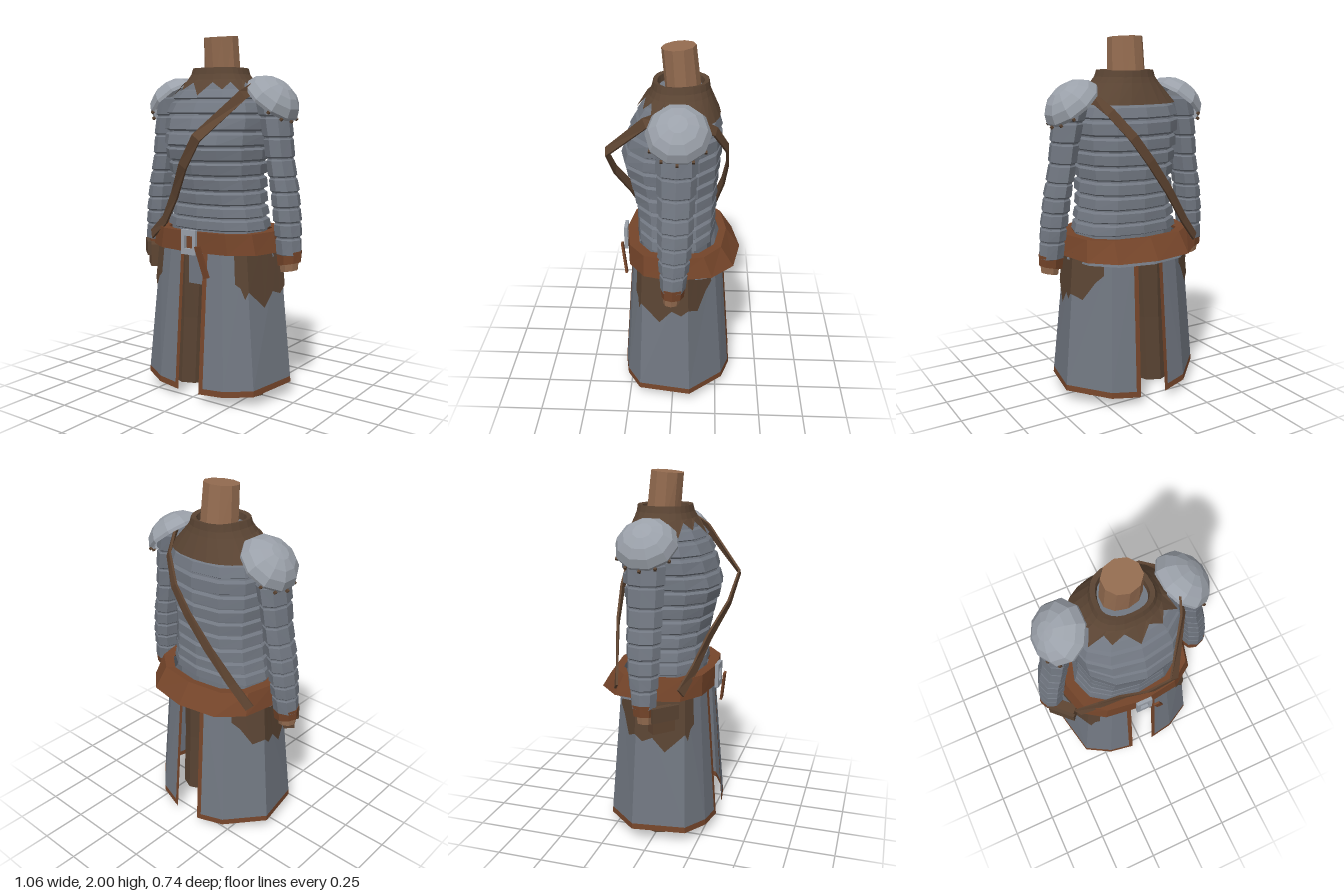
import * as THREE from 'three';

const mat = (name, color) => {
  const m = new THREE.MeshStandardMaterial({ color, side: THREE.DoubleSide });
  m.name = name;
  return m;
};
const V = (x, y, z) => new THREE.Vector3(x, y, z);

// Faceted geometry from rows of points (bottom to top)
function loft(rows, closed = true, caps = false) {
  const pos = [];
  const tri = (...p) => p.forEach(v => pos.push(v.x, v.y, v.z));
  const n = rows[0].length;
  for (let r = 0; r < rows.length - 1; r++) {
    for (let i = 0; i < (closed ? n : n - 1); i++) {
      const j = (i + 1) % n, a = rows[r], b = rows[r + 1];
      tri(a[i], a[j], b[j]);
      tri(a[i], b[j], b[i]);
    }
  }
  if (caps) [rows[0], rows[rows.length - 1]].forEach((row, top) => {
    const c = V(0, 0, 0);
    row.forEach(p => c.add(p));
    c.divideScalar(n);
    row.forEach((p, i) => {
      const q = row[(i + 1) % n];
      if (top) tri(c, p, q); else tri(c, q, p);
    });
  });
  const g = new THREE.BufferGeometry();
  g.setAttribute('position', new THREE.Float32BufferAttribute(pos, 3));
  g.computeVertexNormals();
  return g;
}

function flat(geometry) {
  const g = geometry.index ? geometry.toNonIndexed() : geometry;
  g.computeVertexNormals();
  return g;
}

// Rounded ring with separate front and back depths
function ring(y, hx, zf, zb, n = 12, cx = 0, cz = 0, pow = 0.88) {
  return Array.from({ length: n }, (_, i) => {
    const a = i / n * Math.PI * 2, s = Math.sin(a), c = Math.cos(a);
    const f = v => Math.abs(v) < 1e-6 ? 0 : Math.sign(v) * Math.abs(v) ** pow;
    return V(cx + hx * f(s), y, cz + (c > 0 ? zf : zb) * f(c));
  });
}

// Interpolate rows keyed by their first value (ascending)
function sample(keys, y) {
  let i = 0;
  while (i < keys.length - 2 && y > keys[i + 1][0]) i++;
  const t = (y - keys[i][0]) / (keys[i + 1][0] - keys[i][0]);
  return keys[i].map((v, k) => v + (keys[i + 1][k] - v) * t);
}

// Flat strap following a path round the body
function strapGeometry(points, width, thick) {
  return loft(points.map((p, i) => {
    const t = points[Math.min(i + 1, points.length - 1)].clone().sub(points[Math.max(i - 1, 0)]).normalize();
    const out = V(p.x * 0.4, 0, p.z);
    out.addScaledVector(t, -out.dot(t)).normalize();
    const side = t.clone().cross(out).normalize();
    return [[-1, 1], [1, 1], [1, -1], [-1, -1]].map(([a, b]) =>
      p.clone().addScaledVector(side, a * width / 2).addScaledVector(out, b * thick / 2));
  }), true, true);
}

export function createModel() {
  const steel = mat('banded steel', 0x717781), bright = mat('polished steel', 0x9ba1aa);
  const leather = mat('belt leather', 0x75452a), dark = mat('dark leather', 0x5a4433);
  const strapMat = mat('strap leather', 0x5f4532), skin = mat('skin', 0x946c50);
  const model = new THREE.Group();
  const add = (parent, name, geometry, material) => {
    const m = new THREE.Mesh(geometry, material);
    m.name = name;
    parent.add(m);
    return m;
  };
  const box = (w, h, d) => flat(new THREE.BoxGeometry(w, h, d));

  // Torso of overlapping bands
  const body = [[0.8, 0.30, 0.2, 0.21], [0.95, 0.295, 0.195, 0.215], [1.1, 0.268, 0.2, 0.22], [1.25, 0.262, 0.235, 0.225],
    [1.4, 0.282, 0.28, 0.24], [1.56, 0.295, 0.235, 0.245], [1.65, 0.265, 0.19, 0.225], [1.73, 0.2, 0.135, 0.19], [1.78, 0.15, 0.1, 0.165]];
  const bodyRows = [ring(...body[0])];
  const edges = [0.94, 1.01, 1.08, 1.16, 1.24, 1.32, 1.4, 1.48, 1.57, 1.65, 1.71];
  const bodyRing = (y, d) => {
    const [, x, f, b] = sample(body, y);
    bodyRows.push(ring(y, x + d, f + d, b + d));
  };
  for (let i = 0; i < edges.length - 1; i++) {
    const h = edges[i + 1] - edges[i];
    bodyRing(edges[i], -0.006);
    bodyRing(edges[i] + h * 0.12, 0.014);
    bodyRing(edges[i] + h * 0.75, 0.01);
    bodyRing(edges[i] + h * 0.9, -0.006);
  }
  bodyRows.push(ring(...body[7]), ring(...body[8]));
  add(model, 'torso', loft(bodyRows, true, true), steel);

  // Neck and torn collar
  add(model, 'neck', loft([ring(1.72, 0.11, 0.08, 0.11, 10, 0, -0.035, 1), ring(1.985, 0.1, 0.09, 0.09, 10, 0, -0.02, 1)
    .map(p => V(p.x, 1.99 - p.z * 0.09, p.z))], true, true), skin);
  const n = 24;
  const tornY = ring(0, 1, 1, 1, n).map((p, i) => p.z < -0.2 ? 1.645 : i % 4 === 0 ? 1.67 : i % 2 ? 1.74 : 1.7);
  const hem = tornY.map((y, i) => {
    const [, x, f, b] = sample(body, y);
    return ring(y, x + 0.02, f + 0.024, b + 0.016, n)[i];
  });
  add(model, 'collar', loft([hem, ring(1.755, 0.185, 0.135, 0.195, n), ring(1.785, 0.162, 0.12, 0.185, n),
    ring(1.82, 0.15, 0.112, 0.18, n), ring(1.815, 0.125, 0.09, 0.155, n), ring(1.76, 0.115, 0.08, 0.15, n)]), dark);

  // Belt, flared at the back, with its under plate
  add(model, 'belt', loft([ring(0.83, 0.365, 0.25, 0.345, 12, 0, 0, 0.8), ring(0.828, 0.39, 0.27, 0.372, 12, 0, 0, 0.8),
    ring(0.94, 0.362, 0.268, 0.292, 12, 0, 0, 0.8), ring(0.935, 0.3, 0.21, 0.25, 12, 0, 0, 0.8)]), leather);
  const back = r => r.slice(3, 10);
  add(model, 'backPlate', loft([back(ring(0.8, 0.36, 0.2, 0.335)), back(ring(0.9, 0.33, 0.2, 0.28))], false), steel);

  // Buckle, loose belt end and front flap
  const frame = new THREE.Shape([[-0.047, -0.068], [0.047, -0.068], [0.047, 0.068], [-0.047, 0.068]].map(p => new THREE.Vector2(...p)));
  frame.holes.push(new THREE.Path([[-0.026, -0.035], [-0.026, 0.035], [0.026, 0.035], [0.026, -0.035]].map(p => new THREE.Vector2(...p))));
  add(model, 'buckle', flat(new THREE.ExtrudeGeometry(frame, { depth: 0.02, bevelEnabled: false })), bright).position.set(0, 0.885, 0.268);
  const end = add(model, 'beltEnd', box(0.036, 0.18, 0.012), leather);
  end.position.set(0.09, 0.785, 0.285);
  end.rotation.set(0.15, 0, 0.24);
  add(model, 'frontFlap', box(0.11, 0.23, 0.012), steel).position.set(-0.003, 0.755, 0.2);

  // Diagonal strap, front and back
  const front = [V(0.27, 1.71, 0.06), V(0.25, 1.67, 0.14), V(0.11, 1.45, 0.36), V(0, 1.3, 0.33), V(-0.12, 1.13, 0.25), V(-0.23, 0.98, 0.2), V(-0.36, 0.88, 0.16)];
  const rear = [V(0.27, 1.71, -0.08), V(0.2, 1.61, -0.215), V(0.1, 1.48, -0.28), V(0, 1.35, -0.288), V(-0.13, 1.18, -0.27), V(-0.26, 1.0, -0.228), V(-0.36, 0.88, -0.2)];
  add(model, 'frontStrap', strapGeometry(front, 0.055, 0.012), strapMat);
  add(model, 'backStrap', strapGeometry(rear, 0.05, 0.012), strapMat);

  // Hip pouch
  const pouch = new THREE.Group();
  pouch.name = 'pouch';
  pouch.position.set(-0.42, 0.75, 0.08);
  pouch.rotation.y = -Math.PI / 4;
  add(pouch, 'pouchBody', box(0.13, 0.13, 0.06), strapMat).position.set(0, -0.005, -0.01);
  add(pouch, 'pouchFlap', box(0.155, 0.08, 0.02), dark).position.set(0, 0.04, 0.03);
  model.add(pouch);

  // Skirt outline of one side: bottom x, y, z then top x, z
  const outline = [[0.07, 0.045, 0.295, 0.065, 0.235], [0.094, 0.046, 0.291, 0.09, 0.23], [0.22, 0.05, 0.27, 0.17, 0.215],
    [0.365, 0.062, 0.19, 0.29, 0.16], [0.425, 0.075, -0.1, 0.355, -0.08], [0.24, 0.055, -0.285, 0.2, -0.225],
    [0.104, 0.046, -0.327, 0.09, -0.265], [0.08, 0.045, -0.333, 0.065, -0.27]];
  const skirtTop = 0.87;
  const skirtAt = (o, t) => V(o[0] + (o[3] - o[0]) * t, o[1] + (skirtTop - o[1]) * t, o[2] + (o[4] - o[2]) * t);
  const row = (t, a = 0, b = 8) => outline.slice(a, b).map(o => skirtAt(o, t));
  // Torn edge: position along the outline and height
  const torn = [[2.5, 0.67], [2.7, 0.65], [2.85, 0.59], [3, 0.63], [3.4, 0.53], [3.65, 0.61], [3.85, 0.59], [4, 0.63], [4.3, 0.6], [4.6, 0.7], [4.8, 0.74]];
  const tornRow = top => torn.map(([u, y]) => {
    const i = Math.floor(u), o = outline[i].map((v, k) => v + (outline[i + 1][k] - v) * (u - i));
    const p = skirtAt(o, ((top ? 0.86 : y) - o[1]) / (skirtTop - o[1]));
    return V(p.x * 1.025, p.y, p.z * 1.04);
  });

  // Arm centre line: y, x, half width, z, half depth
  const arm = [[0.82, 0.458, 0.062, -0.008, 0.056], [1.0, 0.442, 0.066, -0.015, 0.078], [1.17, 0.42, 0.064, -0.02, 0.086],
    [1.3, 0.393, 0.06, -0.022, 0.088], [1.5, 0.367, 0.066, -0.025, 0.1], [1.68, 0.325, 0.085, -0.03, 0.1]];
  const armRows = [];
  const armRing = (y, d) => {
    const [, x, w, z, dz] = sample(arm, y);
    armRows.push(ring(y, w + d, dz + d, dz + d, 8, x, z, 1));
  };
  const bands = [0.82, 0.92, 1.0, 1.08, 1.16, 1.24, 1.34, 1.45, 1.56, 1.67];
  for (let i = 0; i < bands.length - 1; i++) {
    armRing(bands[i], 0);
    armRing(bands[i] + 0.008, 0.01);
    armRing(bands[i + 1] - 0.014, 0.007);
    armRing(bands[i + 1] - 0.006, 0);
  }
  const tilt = r => r.map(p => V(p.x, p.y + (p.x - 0.46) * 0.2, p.z));

  // Mirrored parts
  for (const s of [1, -1]) {
    const side = new THREE.Group();
    side.name = s > 0 ? 'leftSide' : 'rightSide';
    side.scale.x = s;
    model.add(side);
    add(side, 'skirtPanel', loft([row(0.04, 1, 7), row(1, 1, 7)], false), steel);
    add(side, 'hemTrim', loft([row(0), row(0.04)], false), leather);
    add(side, 'frontSlitTrim', loft([row(0.04, 0, 2), row(1, 0, 2)], false), leather);
    add(side, 'backSlitTrim', loft([row(0.04, 6, 8), row(1, 6, 8)], false), leather);
    add(side, 'tornHipLeather', loft([tornRow(false), tornRow(true)], false), dark);
    add(side, 'leg', loft([ring(0, 0.108, 0.105, 0.115, 8, 0.195, 0, 1), ring(0.4, 0.105, 0.11, 0.12, 8, 0.17, 0, 1),
      ring(0.84, 0.12, 0.13, 0.14, 8, 0.14, 0, 1)], true, true), dark);
    add(side, 'sleeve', loft(armRows, true, true), steel);
    add(side, 'cuff', loft([tilt(ring(0.775, 0.068, 0.058, 0.06, 8, 0.46, -0.006, 1)),
      tilt(ring(0.835, 0.073, 0.064, 0.066, 8, 0.458, -0.008, 1))], true, true), leather);
    add(side, 'wrist', loft([tilt(ring(0.735, 0.05, 0.042, 0.042, 8, 0.464, 0, 1)),
      tilt(ring(0.79, 0.058, 0.048, 0.048, 8, 0.462, 0, 1))], true, true), skin);

    // Shoulder dome with rim rivets
    const shoulder = new THREE.Group();
    shoulder.name = 'shoulderGuard';
    shoulder.position.set(0.325, 1.64, -0.03);
    shoulder.rotation.z = -0.69;
    side.add(shoulder);
    const dome = [[0.162, -0.008], [0.166, 0.01], [0.146, 0.055], [0.105, 0.09], [0.05, 0.112], [0, 0.116]].map(p => new THREE.Vector2(...p));
    add(shoulder, 'shoulderDome', flat(new THREE.LatheGeometry(dome, 10)), bright);
    for (let i = 0; i < 5; i++) {
      const a = (i - 2) * 0.5 + Math.PI / 2;
      add(shoulder, 'rivet', box(0.014, 0.014, 0.014), dark).position.set(Math.sin(a) * 0.164, -0.006, Math.cos(a) * 0.164);
    }
  }
  return model;
}
